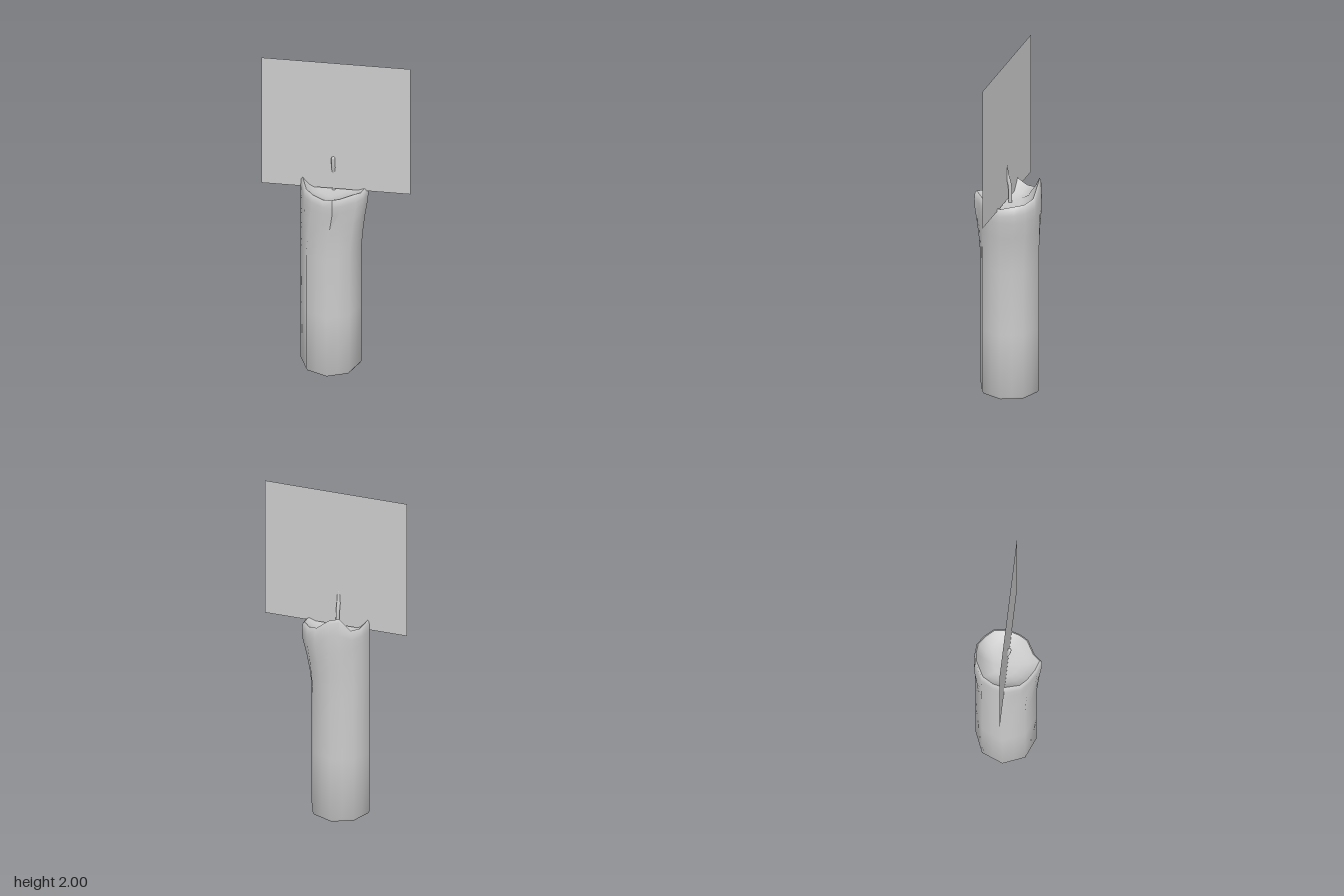
import * as THREE from 'three';
import { toCreasedNormals } from 'three/addons/utils/BufferGeometryUtils.js';

const CX = -0.03, CZ = -0.008; // candle axis
const N = 16;

// Melted rim: x, z, height, counted from +x towards +z
const RIM = [
  [0.18, -0.02, 1.18], [0.16, 0.05, 1.18], [0.125, 0.1, 1.195], [0.045, 0.148, 1.185],
  [0.005, 0.19, 1.2], [-0.05, 0.17, 1.185], [-0.12, 0.13, 1.19], [-0.165, 0.09, 1.2],
  [-0.2, 0, 1.225], [-0.175, -0.07, 1.2], [-0.14, -0.135, 1.21], [-0.08, -0.18, 1.295],
  [-0.02, -0.19, 1.28], [0.06, -0.187, 1.22], [0.12, -0.15, 1.2], [0.167, -0.1, 1.2],
];

// Eight-sided shaft section, scaled about the axis
function shaftRing(y, scale) {
  return RIM.map((_, k) => {
    const a = (k / N) * Math.PI * 2;
    const r = 0.172 * scale * (k % 2 ? Math.cos(Math.PI / 8) : 1);
    return new THREE.Vector3(CX + r * Math.cos(a), y, CZ + r * Math.sin(a));
  });
}

// Section following the rim outline; lift blends from floor height to the rim height
function rimRing(floor, lift, scale) {
  return RIM.map(([x, z, y]) => new THREE.Vector3(
    CX + (x - CX) * scale, floor + (y - floor) * lift, CZ + (z - CZ) * scale));
}

function blendRing(y, t) {
  const rim = rimRing(y, 0, 1);
  return shaftRing(y, 1).map((p, k) => p.lerp(rim[k], t));
}

// Skin a stack of closed rings
function loft(rings) {
  const positions = rings.flat().flatMap((p) => [p.x, p.y, p.z]);
  const index = [];
  for (let i = 0; i < rings.length - 1; i++) {
    for (let k = 0; k < N; k++) {
      const a = i * N + k, b = i * N + (k + 1) % N;
      index.push(a, a + N, b, b, a + N, b + N);
    }
  }
  const g = new THREE.BufferGeometry();
  g.setAttribute('position', new THREE.Float32BufferAttribute(positions, 3));
  g.setIndex(index);
  return toCreasedNormals(g, 1.0);
}

export function createModel() {
  const group = new THREE.Group();
  const material = new THREE.MeshStandardMaterial({ color: 0xcccccc });
  const add = (name, geometry, mat = material) => {
    const mesh = new THREE.Mesh(geometry, mat);
    mesh.name = name;
    group.add(mesh);
    return mesh;
  };

  // Wax body: base, shaft, swollen top, rim and shallow melted bowl
  add('waxBody', loft([
    shaftRing(0, 0.001),
    shaftRing(0.008, 0.95),
    shaftRing(0.022, 1),
    shaftRing(0.4, 1),
    shaftRing(0.78, 1),
    blendRing(0.9, 0.25),
    blendRing(1.0, 0.55),
    blendRing(1.1, 0.95),
    rimRing(1.1, 0.5, 1),
    rimRing(1.1, 0.9, 0.98),
    rimRing(1.1, 1, 0.93),
    rimRing(1.15, 0.75, 0.85),
    rimRing(1.15, 0.3, 0.66),
    rimRing(1.15, 0.05, 0.4),
    rimRing(1.15, 0, 0.001),
  ]));

  // Bent wick with a rounded tip
  const path = new THREE.CatmullRomCurve3([
    [1.13, -0.016], [1.2, -0.016], [1.26, -0.012], [1.32, 0.004], [1.37, 0.009],
  ].map(([y, z]) => new THREE.Vector3(-0.015, y, z)));
  add('wick', new THREE.TubeGeometry(path, 12, 0.011, 8));
  const tip = add('wickTip', new THREE.SphereGeometry(0.011, 8, 6));
  tip.position.set(-0.015, 1.37, 0.009);

  // Flat upright card standing in for the flame
  const card = add('flameCard', new THREE.PlaneGeometry(0.84, 0.835),
    new THREE.MeshStandardMaterial({ color: 0xcccccc, side: THREE.DoubleSide }));
  card.position.set(0, 1.5825, 0);

  return group;
}
